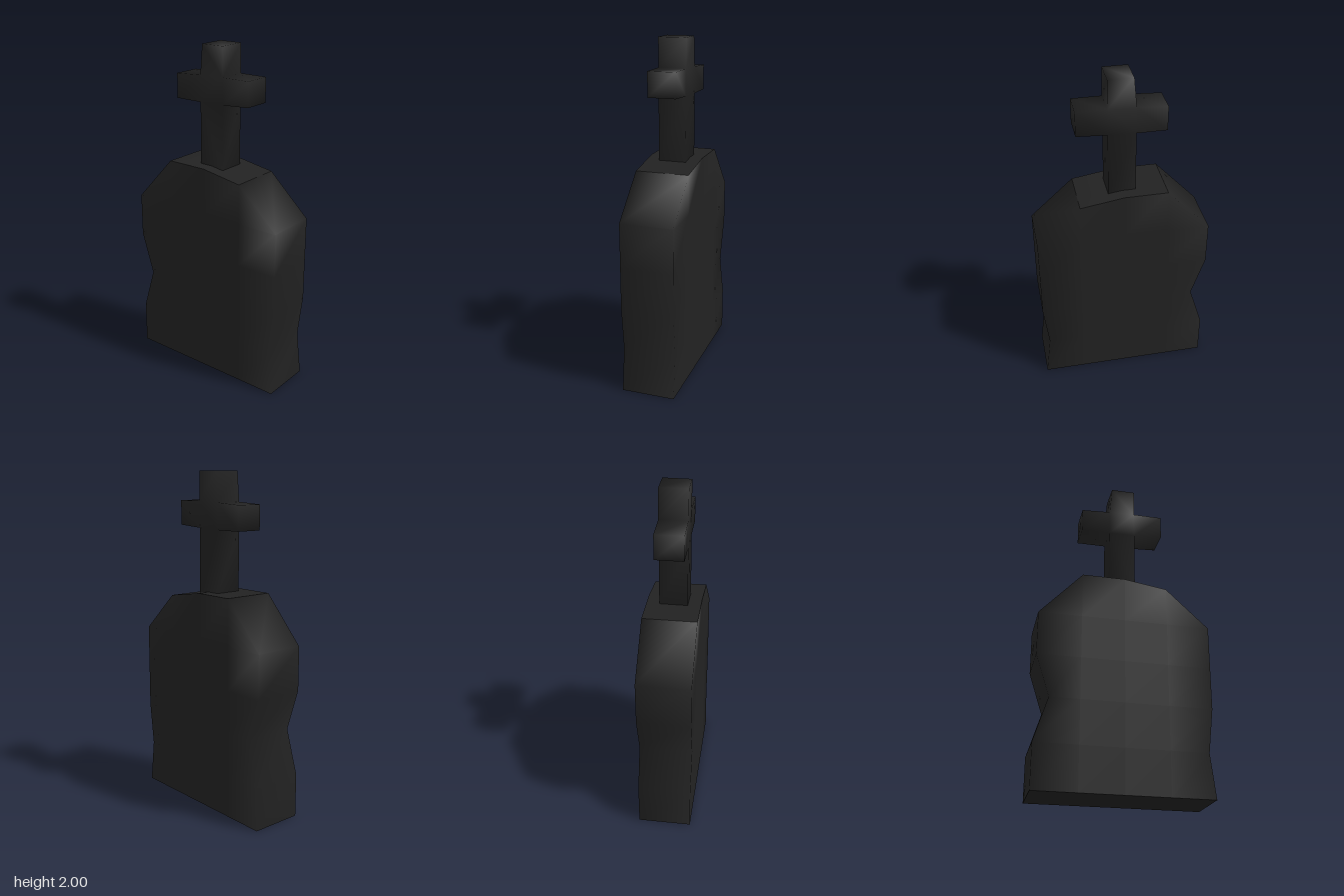
import * as THREE from 'three';
import { mergeVertices } from 'three/addons/utils/BufferGeometryUtils.js';

// Weld corners so shading runs smoothly around the edges
function smooth(geometry) {
  geometry.deleteAttribute('normal');
  geometry.deleteAttribute('uv');
  const welded = mergeVertices(geometry, 1e-4);
  welded.computeVertexNormals();
  return welded;
}

// Worn slab: grid of 4 columns by 5 rows, chipped at its sides and cut at the shoulders
function slabGrid() {
  const rowY = [0, 0.26, 0.52, 0.77, 1.03, 1.305];
  const leftX = [-0.51, -0.51, -0.43, -0.51, -0.51, -0.255];
  const rightX = [0.51, 0.48, 0.51, 0.51, 0.51, 0.255];
  const g = new THREE.BoxGeometry(4, 5, 0.314, 4, 5, 1);
  const p = g.attributes.position;
  for (let i = 0; i < p.count; i++) {
    const col = Math.round(p.getX(i));
    const row = Math.round(p.getY(i) + 2.5);
    let x = col * 0.255;
    if (col === -2) x = leftX[row];
    if (col === 2) x = rightX[row];
    const dip = row === 5 && col > 0 ? 0.04 : 0;
    p.setXY(i, x, rowY[row] - dip);
  }
  return g;
}

// Keep only some faces of a box (0 +x, 1 -x, 2 top, 3 bottom, 4 front, 5 back)
function pickFaces(geometry, faces) {
  const all = Array.from(geometry.index.array);
  const kept = geometry.groups
    .filter((f) => faces.includes(f.materialIndex))
    .flatMap((f) => all.slice(f.start, f.start + f.count));
  geometry.setIndex(kept);
  geometry.clearGroups();
  return smooth(geometry);
}

export function createModel() {
  const group = new THREE.Group();
  const stone = new THREE.MeshStandardMaterial({ color: 0x222222 });
  stone.name = 'dark stone';

  const add = (name, geometry) => {
    const mesh = new THREE.Mesh(geometry, stone);
    mesh.name = name;
    group.add(mesh);
  };

  // Slab sides are smooth; top and bottom meet them at sharp edges
  add('slabBody', pickFaces(slabGrid(), [0, 1, 4, 5]));
  add('slabTop', pickFaces(slabGrid(), [2]));
  add('slabBottom', pickFaces(slabGrid(), [3]));

  // Slightly crooked cross
  const outline = [
    [-0.08, 1.3], [0.08, 1.29], [0.08, 1.675], [0.255, 1.685],
    [0.255, 1.83], [0.08, 1.83], [0.08, 2], [-0.065, 2],
    [-0.08, 1.825], [-0.255, 1.815], [-0.255, 1.67], [-0.08, 1.67],
  ].map(([x, y]) => new THREE.Vector2(x, y));
  const cross = new THREE.ExtrudeGeometry(new THREE.Shape(outline), {
    depth: 0.164, bevelEnabled: false,
  });
  cross.translate(0, 0, -0.082);
  add('cross', smooth(cross));

  return group;
}
